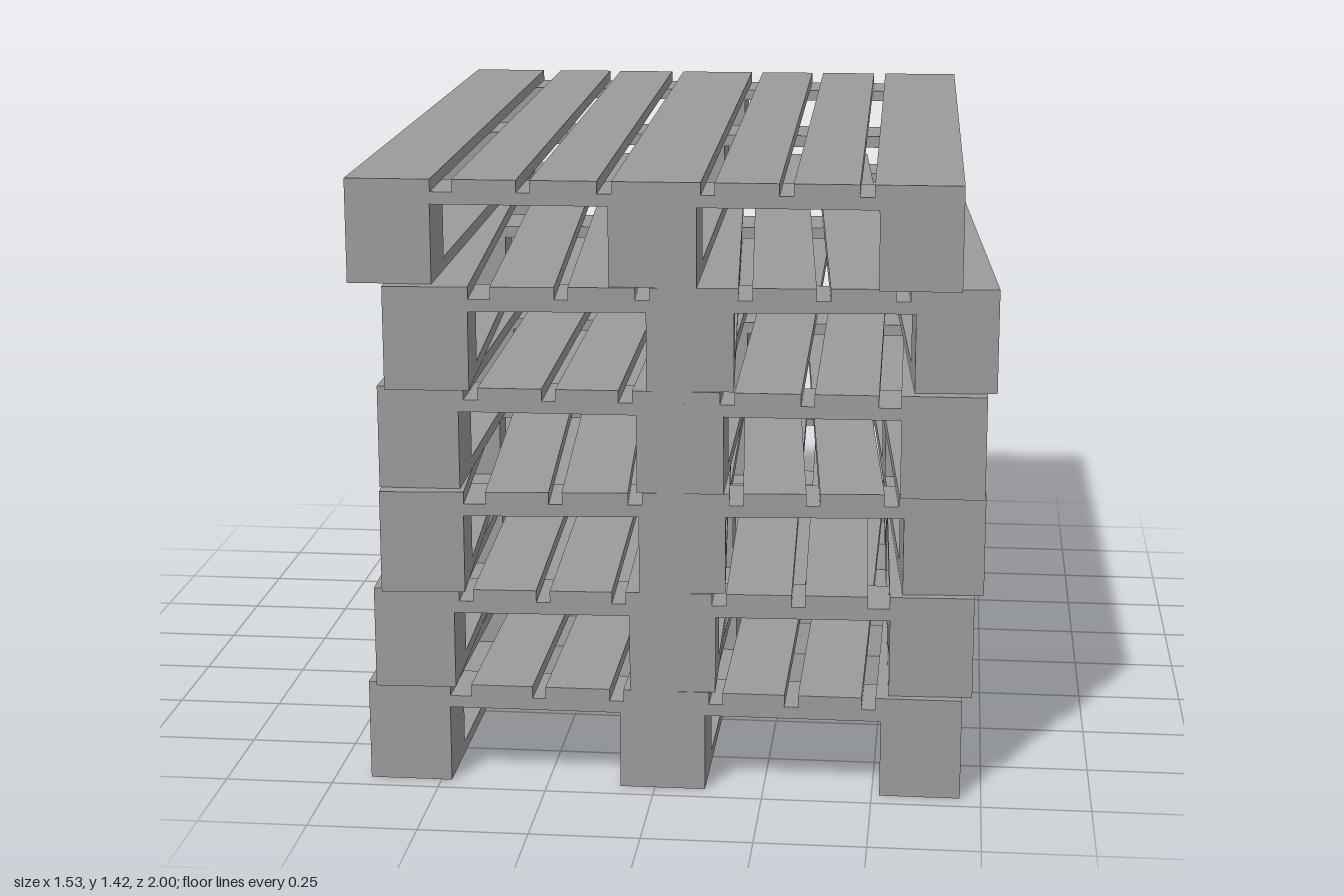
import * as THREE from 'three';

const HALF_W = 0.684, HALF_L = 0.953, PITCH = 0.236;

// Cross-section ranges in x, and block ranges in z, shared by every pallet
const RUNNERS = [[-HALF_W, -0.494], [-0.098, 0.098], [0.5, HALF_W]];
const SLATS = [[-HALF_W, -0.493], [-0.444, -0.301], [-0.271, -0.122], [-0.09, 0.107],
  [0.138, 0.28], [0.311, 0.456], [0.488, HALF_W]];
const BLOCK_ROWS = [[-HALF_L, -0.783], [-0.102, 0.065], [0.783, HALF_L]];

// Heights of the four layers
const Y = { runner: [0, 0.029], block: [0.029, 0.18], stringer: [0.18, 0.208], slat: [0.208, PITCH] };

// Offset in x and yaw for each pallet, from the ground up; two are turned end for end
const STACK = [
  [0.018, 0], [0.006, Math.PI + 0.037], [-0.008, 0.075],
  [0.044, Math.PI + 0.0155], [0.015, 0.07], [-0.019, 0.018],
];

const material = new THREE.MeshStandardMaterial({ color: 0x9b9b9b });

// Box spanning the given [min, max] ranges
function plank(name, [x0, x1], [y0, y1], [z0, z1]) {
  const mesh = new THREE.Mesh(new THREE.BoxGeometry(x1 - x0, y1 - y0, z1 - z0), material);
  mesh.position.set((x0 + x1) / 2, (y0 + y1) / 2, (z0 + z1) / 2);
  mesh.name = name;
  return mesh;
}

function createPallet() {
  const pallet = new THREE.Group();
  const fullX = [-HALF_W, HALF_W], fullZ = [-HALF_L, HALF_L];

  // Bottom runners with three blocks on each
  for (const x of RUNNERS) {
    pallet.add(plank('bottomRunner', x, Y.runner, fullZ));
    for (const z of BLOCK_ROWS) pallet.add(plank('block', x, Y.block, z));
  }
  // Boards across the block rows
  for (const z of BLOCK_ROWS) pallet.add(plank('crossBoard', fullX, Y.stringer, z));
  // Deck slats
  for (const x of SLATS) pallet.add(plank('deckSlat', x, Y.slat, fullZ));
  return pallet;
}

export function createModel() {
  const model = new THREE.Group();
  model.name = 'palletStack';
  STACK.forEach(([x, yaw], i) => {
    const pallet = createPallet();
    pallet.name = `pallet${i + 1}`;
    pallet.position.set(x, i * PITCH, 0);
    pallet.rotation.y = yaw;
    model.add(pallet);
  });
  return model;
}
